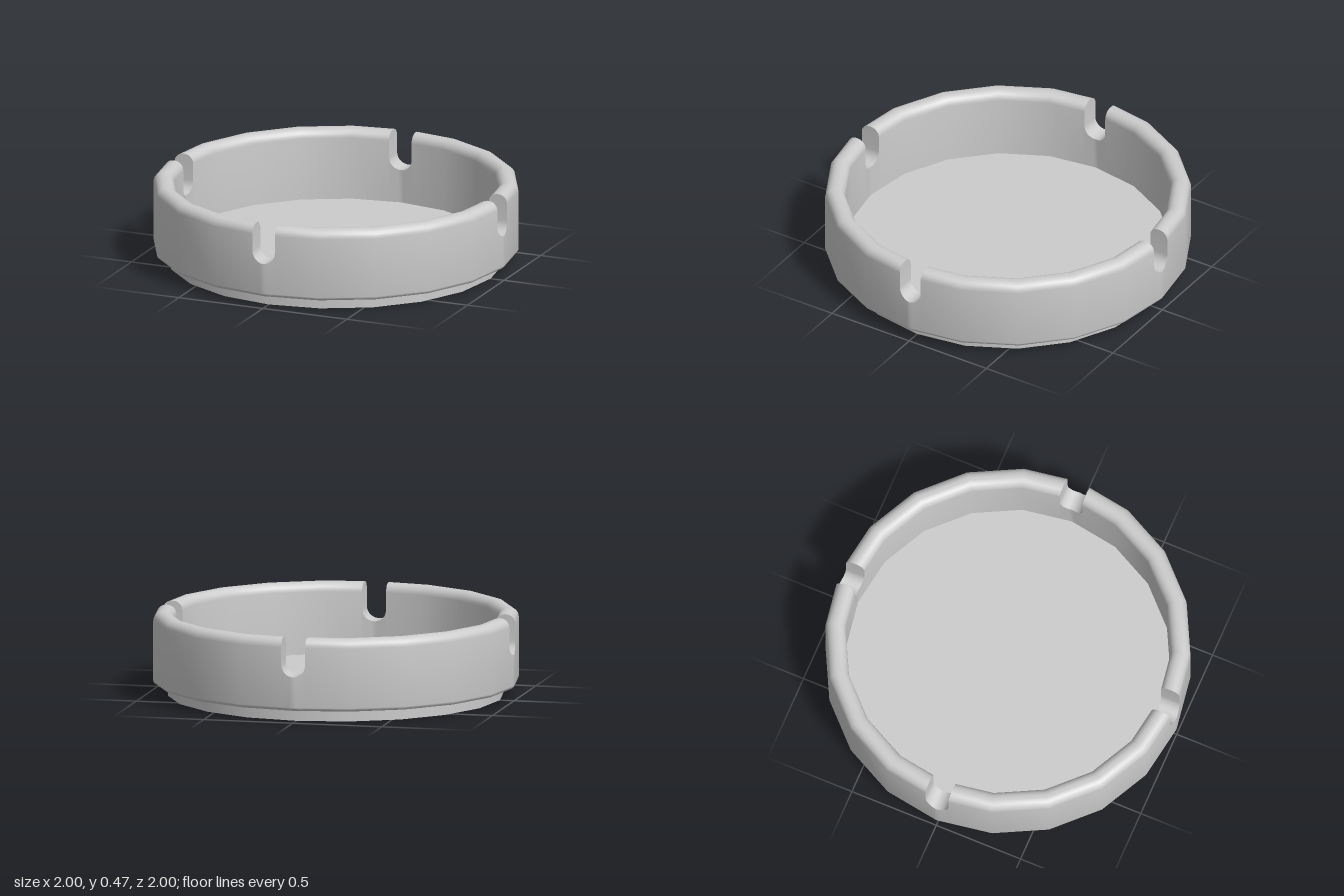
import * as THREE from 'three';
import { toCreasedNormals } from 'three/addons/utils/BufferGeometryUtils.js';

const SIDES = 20, STEP = (Math.PI * 2) / SIDES;
const BOTTOM = 0.065, TOP = 0.465, OUTER = 1, INNER = 0.89;
const NOTCH_R = 0.067, NOTCH_Y = 0.32;

// Closed wall profile as [radius, height]: up the outside, over the rounded rim, down the inside
function wallProfile() {
  const pts = [];
  const arc = (cx, cy, r, from, to, n) => {
    for (let i = 0; i <= n; i++) {
      const a = THREE.MathUtils.degToRad(from + ((to - from) * i) / n);
      pts.push([cx + r * Math.cos(a), cy + r * Math.sin(a)]);
    }
  };
  arc(OUTER - 0.02, BOTTOM + 0.02, 0.02, -90, 0, 4);
  arc(OUTER - 0.05, TOP - 0.05, 0.05, 0, 90, 6);
  arc(INNER + 0.05, TOP - 0.05, 0.05, 90, 180, 6);
  pts.push([INNER, BOTTOM]);
  return pts;
}

// Cross-sections around the ring; those inside a notch are cut down to its U-shaped floor
function wallSections(profile) {
  const sections = [];
  for (let q = 0; q < 4; q++) {
    const turn = (q * Math.PI) / 2, c = Math.cos(turn), s = Math.sin(turn);
    // Section at sideways offset w from the notch axis, lying on the flat side
    const atOffset = (w, cut) => sections.push(profile.map(([r, y]) => {
      const x = r - Math.abs(w) * Math.tan(STEP / 2);
      return new THREE.Vector3(x * c - w * s, Math.min(y, cut), x * s + w * c);
    }));
    atOffset(-NOTCH_R, TOP);
    for (let i = 0; i <= 12; i++) {
      const a = (Math.PI * i) / 12;
      atOffset(-NOTCH_R * Math.cos(a), NOTCH_Y - NOTCH_R * Math.sin(a));
    }
    atOffset(NOTCH_R, TOP);
    // Corners of the polygon between two notches
    for (let k = 1; k < SIDES / 4; k++) {
      const a = turn + k * STEP;
      sections.push(profile.map(([r, y]) => new THREE.Vector3(r * Math.cos(a), y, r * Math.sin(a))));
    }
  }
  return sections;
}

// Skin the closed sections into a ring, leaving out collapsed triangles
function skin(sections) {
  const pos = [];
  const tri = new THREE.Triangle();
  const add = (a, b, c) => {
    if (tri.set(a, b, c).getArea() > 1e-8) pos.push(...a.toArray(), ...b.toArray(), ...c.toArray());
  };
  sections.forEach((cur, i) => {
    const next = sections[(i + 1) % sections.length];
    cur.forEach((p, j) => {
      const k = (j + 1) % cur.length;
      add(p, cur[k], next[k]);
      add(p, next[k], next[j]);
    });
  });
  const geo = new THREE.BufferGeometry();
  geo.setAttribute('position', new THREE.Float32BufferAttribute(pos, 3));
  return toCreasedNormals(geo, 0.5);
}

export function createModel() {
  const group = new THREE.Group();
  group.name = 'ashtray';
  const material = new THREE.MeshStandardMaterial({ color: 0xcccccc });

  // Rounded wall with four rests
  const wall = new THREE.Mesh(skin(wallSections(wallProfile())), material);
  wall.name = 'notchedWall';
  group.add(wall);

  // Foot disc, whose top is the tray floor
  const height = 0.069;
  const base = new THREE.Mesh(new THREE.CylinderGeometry(0.92, 0.92, height, SIDES), material);
  base.position.y = height / 2;
  base.name = 'base';
  group.add(base);

  return group;
}
